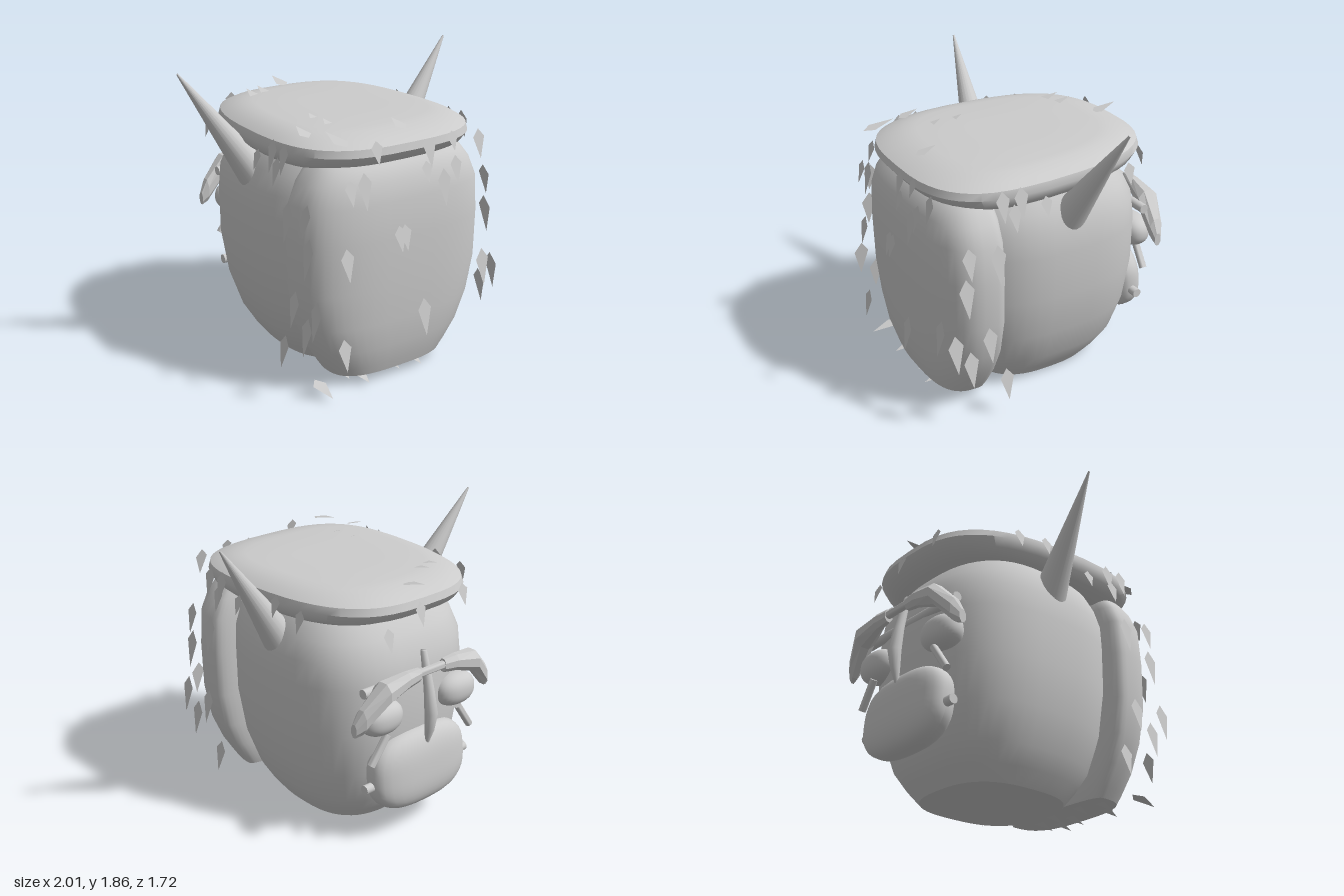
import * as THREE from 'three';
import { toCreasedNormals } from 'three/addons/utils/BufferGeometryUtils.js';

const grey = new THREE.MeshStandardMaterial({ color: 0xcccccc });
const flatGrey = new THREE.MeshStandardMaterial({ color: 0xcccccc, flatShading: true });
const thinGrey = new THREE.MeshStandardMaterial({ color: 0xcccccc, side: THREE.DoubleSide });
const V = (x, y, z) => new THREE.Vector3(x, y, z);
const spow = (v, p) => Math.sign(v) * Math.abs(v) ** p;

function mesh(name, geo, mat = grey) {
  const m = new THREE.Mesh(geo, mat);
  m.name = name;
  return m;
}

// Closed skin over a stack of equal-sized point loops, capped at both ends
function skin(loops) {
  const n = loops[0].length, pos = [], idx = [];
  loops.forEach(l => l.forEach(p => pos.push(p.x, p.y, p.z)));
  for (let r = 0; r < loops.length - 1; r++) {
    for (let i = 0; i < n; i++) {
      const a = r * n + i, b = r * n + (i + 1) % n;
      idx.push(a, a + n, b, b, a + n, b + n);
    }
  }
  [0, loops.length - 1].forEach((r, end) => {
    const c = V(0, 0, 0);
    loops[r].forEach(p => c.addScaledVector(p, 1 / n));
    const ci = pos.length / 3;
    pos.push(c.x, c.y, c.z);
    for (let i = 0; i < n; i++) {
      const a = r * n + i, b = r * n + (i + 1) % n;
      if (end) idx.push(ci, b, a); else idx.push(ci, a, b);
    }
  });
  const g = new THREE.BufferGeometry();
  g.setAttribute('position', new THREE.Float32BufferAttribute(pos, 3));
  g.setIndex(idx);
  g.computeVertexNormals();
  return g;
}

// Rounded-square loops stacked in y: rows of [y, halfWidth, zMin, zMax]
function stack(rows, power, zc, taper = 0) {
  return toCreasedNormals(skin(rows.map(([y, w, z0, z1]) =>
    Array.from({ length: 48 }, (_, i) => {
      const a = i / 48 * Math.PI * 2;
      const c = spow(Math.cos(a), 2 / power), s = spow(Math.sin(a), 2 / power);
      const z = zc + s * (s > 0 ? z1 - zc : zc - z0);
      return V(c * w * (1 + taper * Math.min(0, s)), y, z);
    }))), 0.75);
}

// Sphere squared off towards a box
function blob(w, h, d, p) {
  const g = new THREE.SphereGeometry(1, 32, 24), a = g.attributes.position;
  for (let i = 0; i < a.count; i++) {
    const v = V(0, 0, 0).fromBufferAttribute(a, i);
    const k = (Math.abs(v.x) ** p + Math.abs(v.y) ** p + Math.abs(v.z) ** p) ** (-1 / p);
    a.setXYZ(i, v.x * k * w, v.y * k * h, v.z * k * d);
  }
  g.computeVertexNormals();
  return g;
}

// Round bar between two points
function bar(name, a, b, r0, r1 = r0, sides = 16) {
  const m = mesh(name, toCreasedNormals(new THREE.CylinderGeometry(r1, r0, a.distanceTo(b), sides), 0.8));
  m.position.copy(a).lerp(b, 0.5);
  m.quaternion.setFromUnitVectors(V(0, 1, 0), b.clone().sub(a).normalize());
  return m;
}

// Flat kite-shaped tuft: root, direction of the tip, outward normal, length
function tuft(root, dir, normal, len) {
  const w = 0.025 + len * 0.1;
  const geo = new THREE.ShapeGeometry(new THREE.Shape([
    new THREE.Vector2(0, 0), new THREE.Vector2(-w, -len * 0.28),
    new THREE.Vector2(0, -len), new THREE.Vector2(w, -len * 0.28)]));
  const m = mesh('tuft', geo, thinGrey);
  const y = dir.clone().multiplyScalar(len).addScaledVector(normal, 0.04).normalize().negate();
  const x = y.clone().cross(normal).normalize();
  m.quaternion.setFromRotationMatrix(new THREE.Matrix4().makeBasis(x, y, x.clone().cross(y)));
  m.position.copy(root);
  return m;
}

export function createModel() {
  const model = new THREE.Group();

  // Head
  model.add(mesh('skull', stack([
    [0, 0.38, -0.47, 0.36], [0.09, 0.45, -0.55, 0.43], [0.2, 0.515, -0.63, 0.5], [0.42, 0.59, -0.69, 0.57],
    [0.7, 0.635, -0.72, 0.6], [1.0, 0.64, -0.72, 0.6], [1.15, 0.63, -0.7, 0.6],
    [1.27, 0.59, -0.64, 0.58], [1.38, 0.53, -0.56, 0.54], [1.46, 0.46, -0.48, 0.48],
  ], 2.7, -0.06)));

  // Hair: hanging slab and top slab
  model.add(mesh('hangingHair', stack([
    [0.06, 0.41, 0.43, 0.73], [0.12, 0.45, 0.41, 0.75], [0.25, 0.53, 0.395, 0.785], [0.42, 0.605, 0.385, 0.8],
    [0.65, 0.65, 0.38, 0.815], [0.95, 0.655, 0.38, 0.82], [1.18, 0.64, 0.385, 0.815],
    [1.3, 0.59, 0.39, 0.79], [1.38, 0.53, 0.4, 0.75], [1.43, 0.48, 0.42, 0.69],
  ], 3, 0.5)));
  model.add(mesh('topHair', stack([
    [1.355, 0.5, -0.52, 0.58], [1.375, 0.59, -0.62, 0.69], [1.415, 0.635, -0.71, 0.77], [1.47, 0.655, -0.75, 0.815],
    [1.515, 0.645, -0.735, 0.805], [1.545, 0.6, -0.67, 0.74], [1.57, 0.53, -0.57, 0.63],
    [1.578, 0.47, -0.5, 0.56], [1.58, 0.2, -0.2, 0.25],
  ], 3, 0.15, 0.06)));

  // Horns, brows, eyes, cheek rods
  for (const s of [1, -1]) {
    const side = new THREE.Group();
    side.name = s > 0 ? 'leftFace' : 'rightFace';
    side.scale.x = s;
    side.add(bar('horn', V(0.53, 1.18, -0.055), V(0.998, 1.86, -0.13), 0.11, 0.006, 20));

    const brow = [
      [0.1, 1.075, 0.045, -0.8, 0.03], [0.2, 1.07, 0.055, -0.8, 0.045], [0.37, 1.03, 0.075, -0.785, 0.077],
      [0.51, 0.885, 0.08, -0.755, 0.05], [0.555, 0.835, 0.045, -0.742, 0.025],
    ].map(([x, y, h, z, d]) => Array.from({ length: 8 }, (_, i) => {
      const a = (i + 0.5) / 8 * Math.PI * 2;
      return V(x, y + Math.cos(a) * h, z - Math.sin(a) * d);
    }));
    side.add(mesh('brow', skin(brow), flatGrey));

    const eye = mesh('eye', blob(0.15, 0.105, 0.1, 2.3));
    eye.position.set(0.31, 0.83, -0.7);
    side.add(eye);
    side.add(bar('cheekRod', V(0.3, 0.73, -0.75), V(0.42, 0.56, -0.745), 0.024));
    model.add(side);
  }
  model.add(bar('browLink', V(-0.12, 1.08, -0.8), V(0.12, 1.08, -0.8), 0.025));
  model.add(bar('browPin', V(-0.45, 1.02, -0.7), V(0.45, 1.02, -0.7), 0.03));
  model.add(bar('muzzlePin', V(-0.43, 0.38, -0.7), V(0.43, 0.38, -0.7), 0.03));

  // Muzzle and spindle-shaped nose
  const muzzle = mesh('muzzle', blob(0.375, 0.25, 0.13, 2.8));
  muzzle.position.set(0, 0.42, -0.7);
  muzzle.rotation.x = 0.08;
  model.add(muzzle);
  const noseRows = [[0.57, 0.008, -0.785], [0.68, 0.03, -0.805], [0.8, 0.042, -0.815],
    [0.95, 0.033, -0.79], [1.1, 0.025, -0.755], [1.18, 0.02, -0.735]];
  model.add(mesh('nose', skin(noseRows.map(([y, r, z]) => Array.from({ length: 12 }, (_, i) => {
    const a = i / 12 * Math.PI * 2;
    return V(Math.cos(a) * r, y, z + Math.sin(a) * r);
  })))));

  // Hair tufts
  const tufts = new THREE.Group();
  tufts.name = 'hairTufts';
  const down = V(0, -1, 0), back = V(0, 0, -1), ahead = V(0, 0, 1);
  // front: x, y of root, length
  [[-0.475, 0.97, 0.2], [-0.49, 0.41, 0.2], [0.1, 0.52, 0.24], [0.55, 0.74, 0.24], [0.22, 1.32, 0.23],
    [-0.36, 1.4, 0.22], [-0.455, 1.37, 0.15], [0.305, 1.385, 0.17], [0.085, 1.39, 0.13],
    [-0.1, 1.03, 0.16], [-0.06, 1.03, 0.16], [-0.28, 1.57, 0.14], [0.1, 1.52, 0.17],
    [0.27, 1.54, 0.12], [0.475, 1.52, 0.18],
  ].forEach(([x, y, l]) => tufts.add(tuft(V(x, y, 0.82), down, ahead, l)));
  // both sides: z, y of root, length
  [[0.69, 1.23, 0.2], [0.5, 1.2, 0.25], [0.71, 1.035, 0.25], [0.79, 0.68, 0.25], [0.56, 0.66, 0.23],
    [0.69, 0.535, 0.24], [0.445, 0.33, 0.21], [0.47, 1.53, 0.19], [0.35, 1.53, 0.2],
    [0.39, 1.43, 0.17], [0.18, 1.43, 0.13], [-0.18, 1.53, 0.14], [-0.4, 1.5, 0.14],
  ].forEach(([z, y, l]) => [1, -1].forEach(s =>
    tufts.add(tuft(V(s * 0.65, y, z), down, V(s, 0, 0), l))));
  // top: x, z of root, length
  [[-0.31, -0.35, 0.18], [-0.21, -0.37, 0.19], [0.02, -0.57, 0.18], [-0.31, 0.3, 0.11], [-0.31, 0.46, 0.12],
    [0.03, 0.69, 0.14], [-0.53, 0.53, 0.14], [-0.46, 0.8, 0.21],
  ].forEach(([x, z, l]) => tufts.add(tuft(V(x, 1.56, z), back, V(0, 1, 0), l)));
  // rear edge: x, y of root, length
  [[-0.3, 1.53, 0.14], [0.05, 1.5, 0.15], [0.3, 1.4, 0.15],
  ].forEach(([x, y, l]) => tufts.add(tuft(V(x, y, -0.74), down, back, l)));
  // underside: x, z of root, length
  [[-0.55, 0.6, 0.2], [-0.33, 0.5, 0.16], [-0.26, 0.62, 0.15], [-0.17, 0.45, 0.16], [0, 0.55, 0.18],
    [0.07, 0.46, 0.15], [0.15, 0.6, 0.16], [0.23, 0.5, 0.17],
  ].forEach(([x, z, l]) => tufts.add(tuft(V(x, 0.07, z), ahead, down, l)));
  model.add(tufts);

  return model;
}
